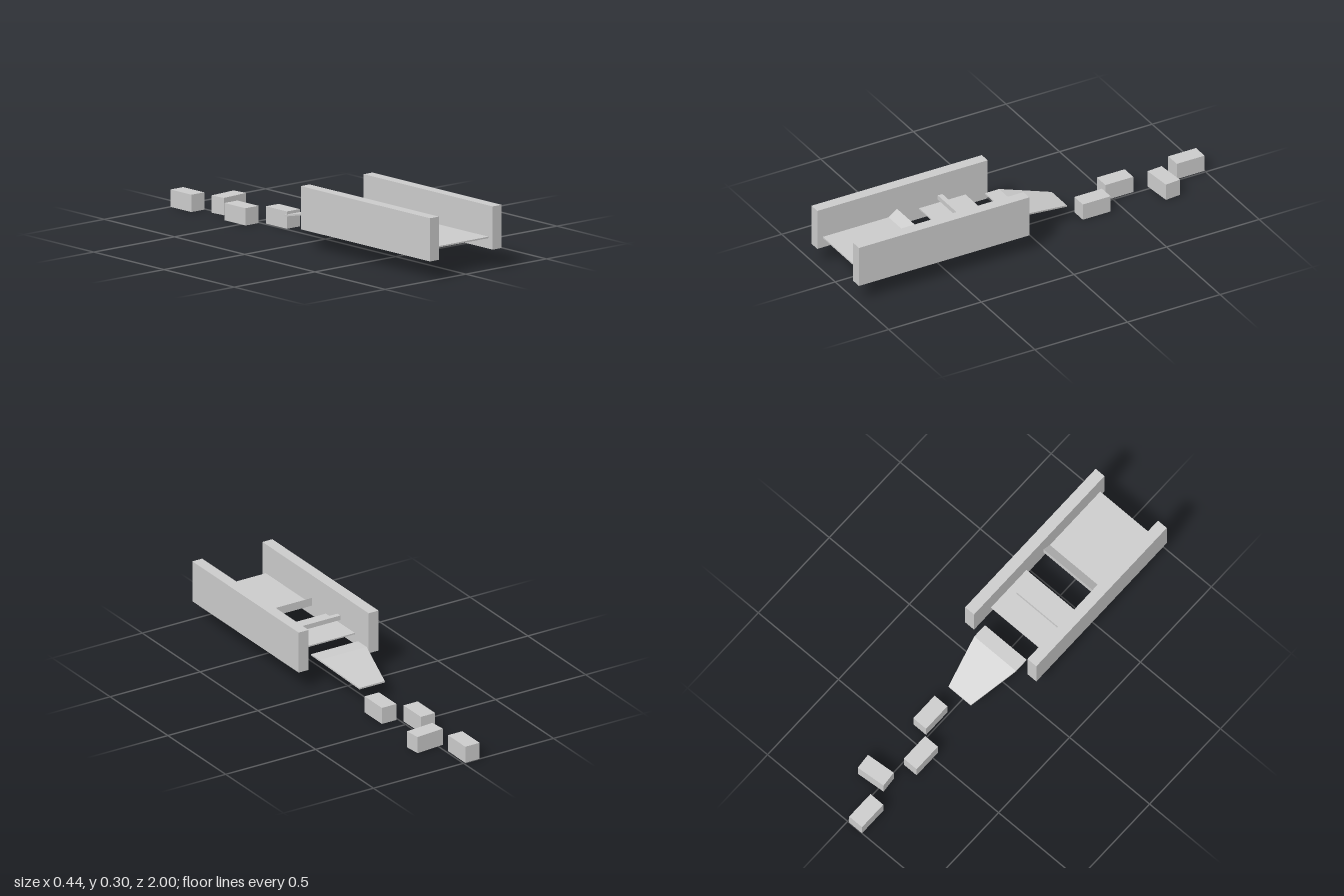
import * as THREE from 'three';

const material = new THREE.MeshStandardMaterial({ color: 0xcccccc });

export function createModel() {
  const model = new THREE.Group();

  const add = (name, geometry) => {
    const mesh = new THREE.Mesh(geometry, material);
    mesh.name = name;
    model.add(mesh);
    return mesh;
  };
  // Box given by its extents along x, y and z
  const box = (name, [x0, x1], [y0, y1], [z0, z1]) => {
    const mesh = add(name, new THREE.BoxGeometry(x1 - x0, y1 - y0, z1 - z0));
    mesh.position.set((x0 + x1) / 2, (y0 + y1) / 2, (z0 + z1) / 2);
    return mesh;
  };

  // Tall side walls
  box('leftWall', [0.167, 0.222], [0.093, 0.3], [0.08, 1]);
  box('rightWall', [-0.222, -0.167], [0.093, 0.3], [0.08, 1]);

  // Floor plates between the walls, with a gap to jump
  const across = [-0.167, 0.167];
  box('frontFloor', across, [0.143, 0.15], [0.57, 0.97]);
  box('rearFloor', across, [0.143, 0.15], [0.2, 0.45]);

  // Wedge ramp at the end of the front floor: profile in (-z, y), swept along x
  const wedge = new THREE.Shape([
    new THREE.Vector2(-0.615, 0.15),
    new THREE.Vector2(-0.57, 0.15),
    new THREE.Vector2(-0.57, 0.183),
  ]);
  const ramp = add('jumpRamp', new THREE.ExtrudeGeometry(wedge, { depth: 0.334, bevelEnabled: false }));
  ramp.rotation.y = Math.PI / 2;
  ramp.position.x = -0.167;

  // Bar reaching out from the right wall over the rear floor
  box('barrierBar', [-0.167, 0.12], [0.167, 0.19], [0.325, 0.35]);

  // Exit chute: a flat lip, then a tapering slope going down to the rear
  let chute = new THREE.BoxGeometry(1, 1, 1, 1, 1, 2);
  const sections = [
    { z: -0.21, y: 0.083, half: 0.07 },
    { z: 0.04, y: 0.143, half: 0.13 },
    { z: 0.115, y: 0.143, half: 0.13 },
  ];
  const p = chute.attributes.position;
  for (let i = 0; i < p.count; i++) {
    const s = sections[Math.round(p.getZ(i) * 2) + 1];
    p.setXYZ(i, p.getX(i) * 2 * s.half, s.y + (p.getY(i) > 0 ? 0.008 : 0), s.z);
  }
  chute = chute.toNonIndexed();
  chute.computeVertexNormals();
  add('exitChute', chute);

  // Stepping blocks trailing behind
  [
    [0.05, -0.36, 0],
    [-0.05, -0.54, 0],
    [0.05, -0.745, Math.PI / 2 + 0.087],
    [-0.05, -0.925, 0],
  ].forEach(([x, z, turn], i) => {
    const block = add('steppingBlock' + (i + 1), new THREE.BoxGeometry(0.08, 0.083, 0.15));
    block.position.set(x, 0.0415, z);
    block.rotation.y = turn;
  });

  return model;
}
